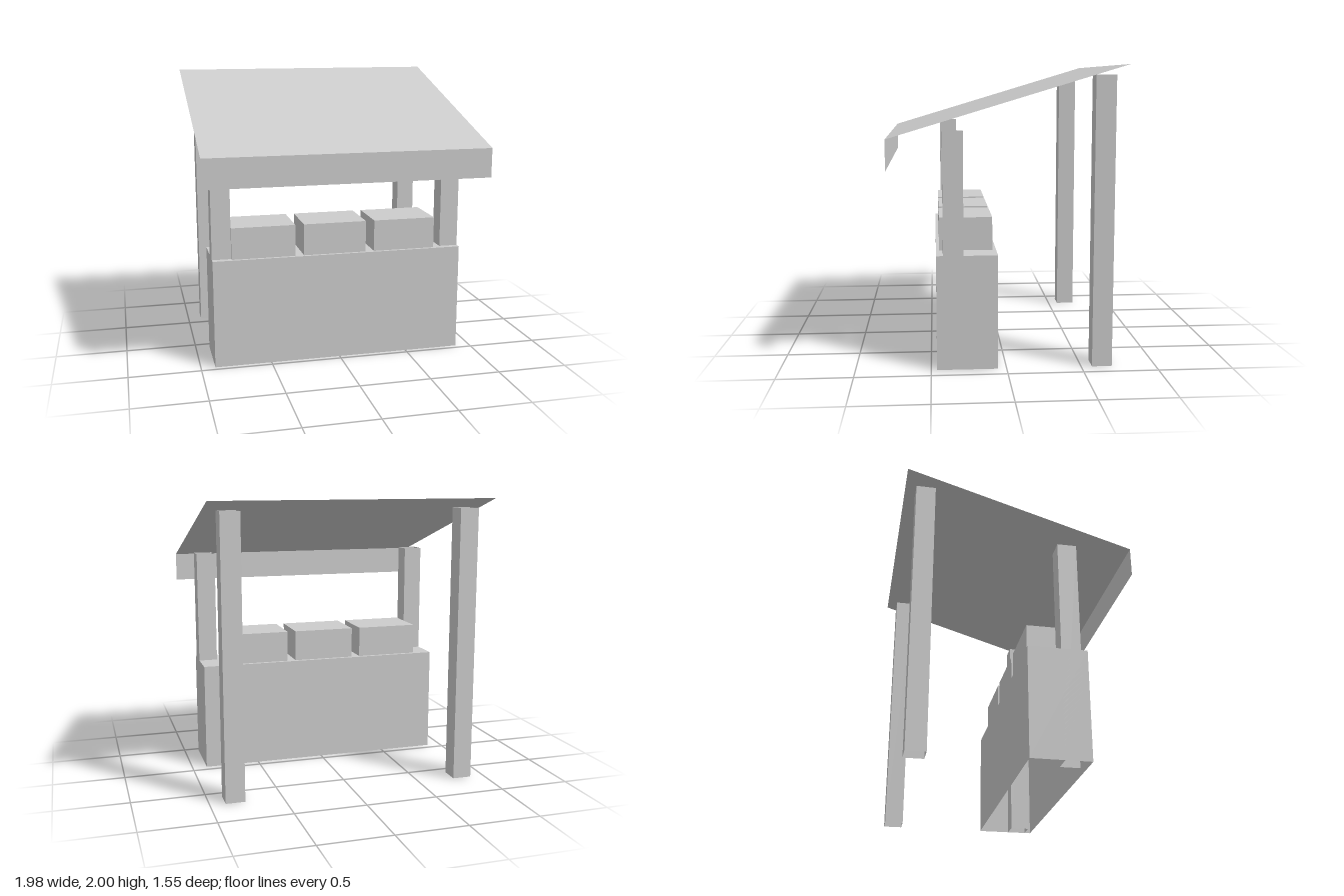
import * as THREE from 'three';

const grey = new THREE.MeshStandardMaterial({ color: 0xcccccc, side: THREE.DoubleSide });
grey.name = 'plain grey';

// Box given by its limits, without a bottom and, if wanted, without a top
function openBox(name, [x0, x1], [y0, y1], [z0, z1], hasTop) {
  const geometry = new THREE.BoxGeometry(x1 - x0, y1 - y0, z1 - z0);
  const faces = hasTop ? [0, 1, 2, 4, 5] : [0, 1, 4, 5]; // order: +x -x +y -y +z -z
  const all = Array.from(geometry.index.array);
  geometry.setIndex(faces.flatMap((f) => all.slice(f * 6, f * 6 + 6)));
  geometry.clearGroups();
  const mesh = new THREE.Mesh(geometry, grey);
  mesh.name = name;
  mesh.position.set((x0 + x1) / 2, (y0 + y1) / 2, (z0 + z1) / 2);
  return mesh;
}

// Flat sheet as wide as the roof, spanning two points of the side profile
function sheet(name, [y0, z0], [y1, z1]) {
  const geometry = new THREE.PlaneGeometry(1.975, Math.hypot(y1 - y0, z1 - z0));
  geometry.rotateX(Math.atan2(z1 - z0, y1 - y0));
  const mesh = new THREE.Mesh(geometry, grey);
  mesh.name = name;
  mesh.position.set(-0.0025, (y0 + y1) / 2, (z0 + z1) / 2);
  return mesh;
}

export function createModel() {
  const stall = new THREE.Group();
  stall.name = 'marketStall';

  // Counter, open underneath
  stall.add(openBox('counter', [-0.9, 0.895], [0, 0.767], [0.057, 0.462], true));

  // Crates on the counter
  for (let i = 0; i < 3; i++) {
    const x = -0.766 + i * 0.511;
    stall.add(openBox('crate', [x, x + 0.449], [0.767, 0.99], [0.083, 0.44], true));
  }

  // Hollow posts: short at the front, tall at the back
  for (const [side, x] of [['right', [-0.9, -0.766]], ['left', [0.761, 0.895]]]) {
    stall.add(openBox(side + 'FrontPost', x, [0, 1.573], [0.283, 0.417], false));
    stall.add(openBox(side + 'BackPost', x, [0, 1.933], [-0.707, -0.573], false));
  }

  // Sloping roof and hanging front valance
  stall.add(sheet('roof', [1.532, 0.775], [2, -0.777]));
  stall.add(sheet('valance', [1.329, 0.775], [1.532, 0.775]));

  return stall;
}
